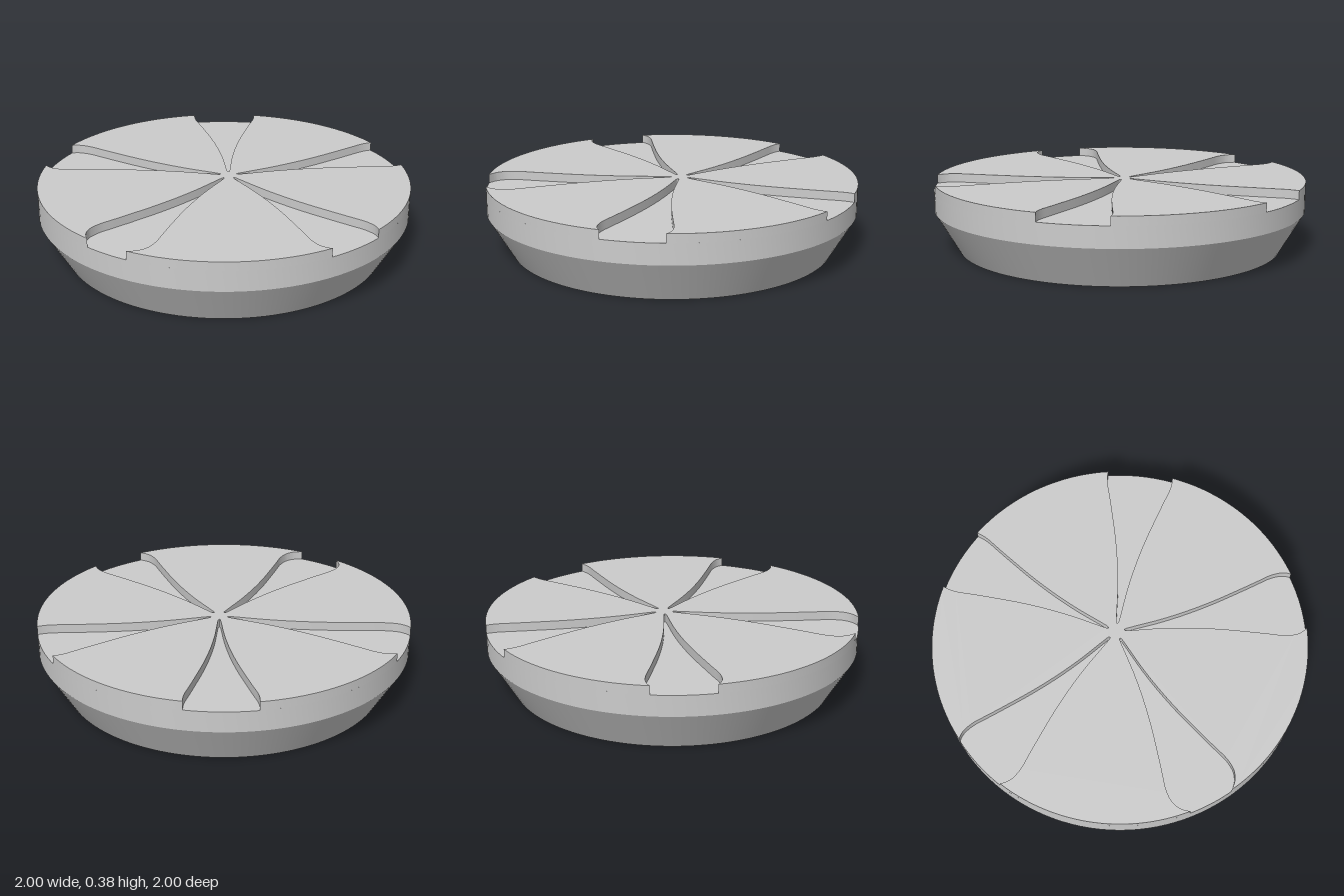
import * as THREE from 'three';
import { toCreasedNormals } from 'three/addons/utils/BufferGeometryUtils.js';

const TOP = 0.375, FLOOR = 0.328;   // plate surface and groove floor
const HUB_Z = -0.045;               // the five grooves radiate from here
const GROOVES = 5;

// Groove half-width against distance from the hub
const grooveSide = new THREE.SplineCurve([
  [0.045, 0], [0.055, 0.006], [0.1, 0.011], [0.25, 0.026], [0.4, 0.05], [0.55, 0.083],
  [0.7, 0.124], [0.8, 0.153], [0.87, 0.174], [0.92, 0.181], [0.96, 0.178],
  [1.0, 0.16], [1.03, 0.13], [1.06, 0.09],
].map(([d, w]) => new THREE.Vector2(d, w))).getPoints(78);

// One side of a groove, from its tip out to the rim (shape y = -z)
function sidePoints(angle, side) {
  const s = Math.sin(angle), c = Math.cos(angle);
  const points = [];
  for (const p of grooveSide) {
    const d = p.x, w = p.y * side;
    const q = new THREE.Vector2(d * s + w * c, -(HUB_Z + d * c - w * s));
    if (q.length() >= 1) {
      // stop exactly on the rim
      const last = points[points.length - 1];
      const t = (1 - last.length()) / (q.length() - last.length());
      points.push(last.clone().lerp(q, t).normalize());
      break;
    }
    points.push(q);
  }
  return points;
}

// Outline of the raised plate: in along a groove, back out, then round the rim
function plateShape() {
  const outline = [];
  for (let k = 0; k < GROOVES; k++) {
    const angle = k * Math.PI * 2 / GROOVES;
    const next = (k + 1) * Math.PI * 2 / GROOVES;
    const inward = sidePoints(angle, -1).reverse();
    const outward = sidePoints(angle, 1);
    outline.push(...inward, ...outward.slice(1));

    const from = outward[outward.length - 1];
    const to = sidePoints(next, -1).pop();
    const a0 = Math.atan2(from.y, from.x);
    let a1 = Math.atan2(to.y, to.x);
    if (a1 < a0) a1 += Math.PI * 2;
    const steps = 24;
    for (let i = 1; i < steps; i++) {
      const a = a0 + (a1 - a0) * i / steps;
      outline.push(new THREE.Vector2(Math.cos(a), Math.sin(a)));
    }
  }
  return new THREE.Shape(outline);
}

export function createModel() {
  const group = new THREE.Group();
  group.name = 'groovedDisc';
  const material = new THREE.MeshStandardMaterial({ color: 0xcccccc });

  // Body: tapered underside with a round recess, flat groove floor on top
  const profile = [
    [0, 0.25], [0.636, 0.25], [0.636, 0], [0.872, 0], [1, 0.218], [1, FLOOR], [0, FLOOR],
  ].map(([r, y]) => new THREE.Vector2(r, y));
  const body = new THREE.Mesh(
    toCreasedNormals(new THREE.LatheGeometry(profile, 128), 0.4), material);
  body.name = 'body';
  group.add(body);

  // Raised plate cut by the five petal-shaped grooves
  const plateGeometry = new THREE.ExtrudeGeometry(plateShape(), {
    depth: TOP - FLOOR, bevelEnabled: false,
  });
  plateGeometry.rotateX(-Math.PI / 2);
  plateGeometry.translate(0, FLOOR, 0);
  const plate = new THREE.Mesh(toCreasedNormals(plateGeometry, 0.5), material);
  plate.name = 'groovedPlate';
  group.add(plate);

  return group;
}
